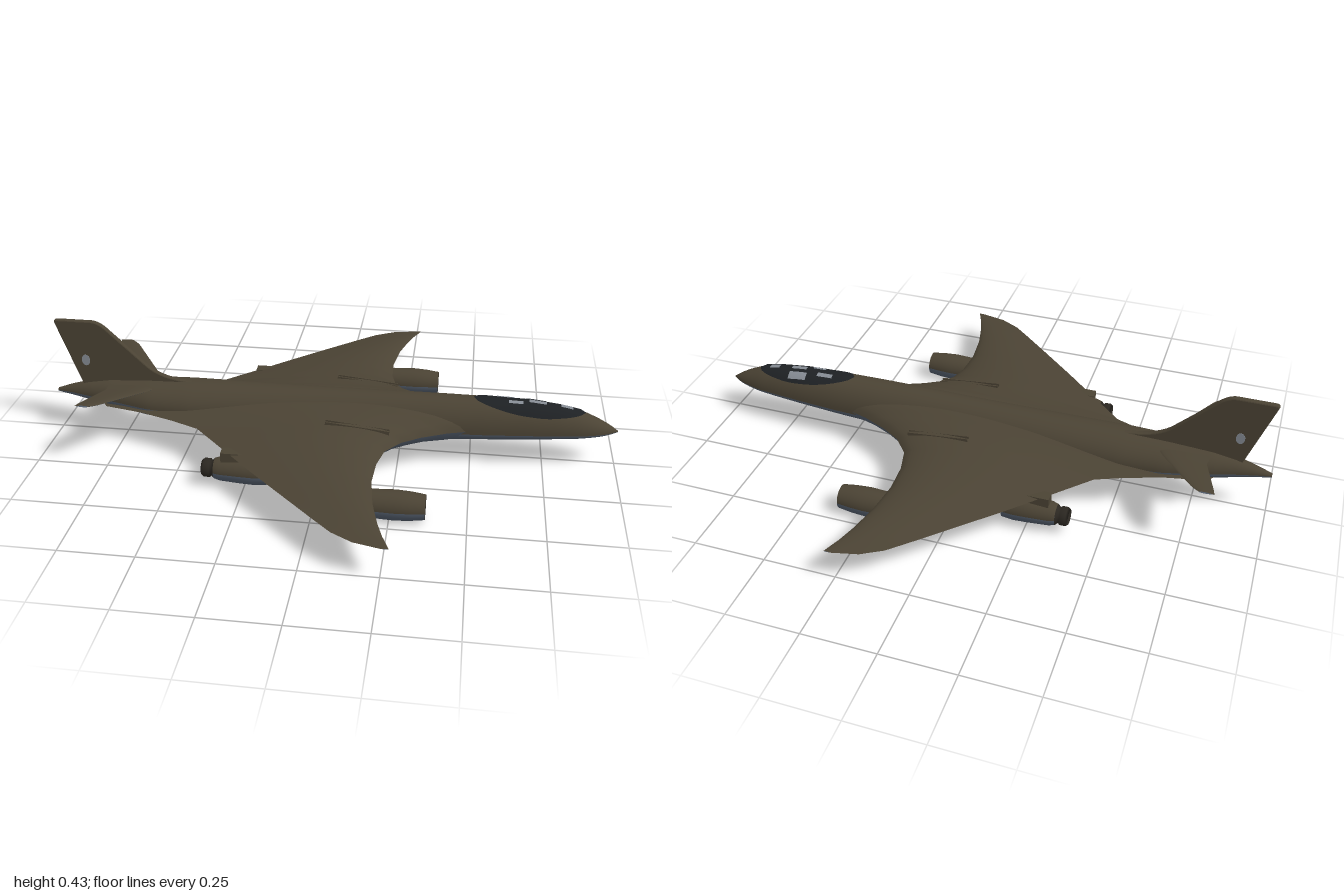
import * as THREE from 'three';

const mat = (name, color, side = THREE.DoubleSide) =>
  Object.assign(new THREE.MeshStandardMaterial({ color, side }), { name });

export function createModel() {
  const group = new THREE.Group();
  const olive = mat('olive paint', 0x4b4334);
  const slate = mat('slate underside', 0x505a68);
  const glass = mat('dark glass', 0x1e2124);
  const pale = mat('pale grey', 0x868c94);
  const metal = mat('dark metal', 0x2b2721);

  const add = (name, geometry, material, parent = group) => {
    const mesh = new THREE.Mesh(geometry, material);
    mesh.name = name;
    parent.add(mesh);
    return mesh;
  };

  // Surface from a function of u and v, both 0..1
  const sheet = (fn, nu, nv) => {
    const pos = [], idx = [];
    for (let i = 0; i <= nu; i++) for (let j = 0; j <= nv; j++) pos.push(...fn(i / nu, j / nv));
    for (let i = 0; i < nu; i++) for (let j = 0; j < nv; j++) {
      const a = i * (nv + 1) + j, b = a + nv + 1;
      idx.push(a, a + 1, b, b, a + 1, b + 1);
    }
    const g = new THREE.BufferGeometry();
    g.setAttribute('position', new THREE.Float32BufferAttribute(pos, 3));
    g.setIndex(idx);
    g.computeVertexNormals();
    return g;
  };

  // Interpolate rows of a table by their first column
  const sample = (rows, k) => {
    let i = 0;
    while (i < rows.length - 2 && k > rows[i + 1][0]) i++;
    const t = THREE.MathUtils.clamp((k - rows[i][0]) / (rows[i + 1][0] - rows[i][0]), 0, 1);
    return rows[i].map((v, c) => v + (rows[i + 1][c] - v) * t);
  };

  // Fuselage: x, top, bottom, half width, colour line
  const body = [
    [-1, 0.16, 0.148, 0.008, 0.154], [-0.95, 0.178, 0.14, 0.02, 0.156], [-0.88, 0.197, 0.128, 0.037, 0.155],
    [-0.8, 0.21, 0.115, 0.058, 0.152], [-0.65, 0.218, 0.093, 0.092, 0.146], [-0.5, 0.221, 0.075, 0.1, 0.14],
    [-0.3, 0.222, 0.061, 0.095, 0.135], [0, 0.224, 0.055, 0.088, 0.13], [0.25, 0.227, 0.065, 0.086, 0.126],
    [0.4, 0.228, 0.075, 0.085, 0.124], [0.55, 0.228, 0.085, 0.08, 0.126], [0.7, 0.224, 0.095, 0.072, 0.13],
    [0.8, 0.213, 0.102, 0.064, 0.132], [0.87, 0.199, 0.108, 0.056, 0.132], [0.93, 0.174, 0.114, 0.04, 0.132],
    [0.97, 0.153, 0.121, 0.023, 0.131], [1, 0.133, 0.129, 0.002, 0.131],
  ];
  const hull = (side) => sheet((u, v) => {
    const x = -1 + 2 * u, [, top, bottom, half, mid] = sample(body, x);
    const a = (v - 0.5) * Math.PI;
    return [x, mid + ((side > 0 ? top : bottom) - mid) * Math.cos(a), half * Math.sin(a)];
  }, 100, 24);
  add('fuselageTop', hull(1), olive);
  add('fuselageBelly', hull(-1), slate);

  // Canopy and panes: patches lying on the upper fuselage
  const patch = (x0, x1, zRange, lift) => sheet((u, v) => {
    const x = x0 + (x1 - x0) * u, [z0, z1] = zRange(u), z = z0 + (z1 - z0) * v;
    const [, top, , half, mid] = sample(body, x);
    return [x, mid + (top - mid) * Math.sqrt(Math.max(0, 1 - (z / half) ** 2)) + lift, z];
  }, 24, 12);
  add('canopy', patch(0.5, 0.885, (u) => {
    const w = 0.055 * Math.sqrt(Math.max(0, 1 - (2 * u - 1) ** 2));
    return [-w, w];
  }, 0.003), glass);
  for (const [x0, x1, z0, z1] of [
    [0.58, 0.64, -0.028, -0.012], [0.68, 0.75, -0.046, -0.022], [0.69, 0.75, -0.008, 0.01],
    [0.62, 0.67, 0.008, 0.022], [0.8, 0.84, -0.012, 0.008],
  ]) add('canopyPane', patch(x0, x1, () => [z0, z1], 0.005), pale);

  // Lifting surfaces: z, trailing x, leading x, top, bottom, edge height
  const wingRows = [
    [0, -0.85, 0.62, 0.21, 0.06, 0.135], [0.07, -0.8, 0.52, 0.203, 0.065, 0.135],
    [0.1, -0.66, 0.42, 0.195, 0.07, 0.135], [0.14, -0.54, 0.33, 0.188, 0.068, 0.134],
    [0.18, -0.44, 0.265, 0.182, 0.072, 0.132], [0.24, -0.38, 0.215, 0.174, 0.091, 0.13],
    [0.32, -0.3, 0.195, 0.164, 0.104, 0.127], [0.42, -0.2, 0.19, 0.153, 0.108, 0.124],
    [0.54, -0.075, 0.205, 0.141, 0.11, 0.121], [0.64, 0.03, 0.23, 0.13, 0.111, 0.118],
    [0.7, 0.095, 0.25, 0.122, 0.112, 0.116], [0.74, 0.165, 0.267, 0.118, 0.113, 0.115],
    [0.76, 0.25, 0.275, 0.1155, 0.1135, 0.1145],
  ];
  const tailRows = [
    [0, -0.8, -0.6, 0.204, 0.19, 0.197], [0.08, -0.79, -0.645, 0.215, 0.203, 0.209],
    [0.245, -0.835, -0.765, 0.24, 0.232, 0.236], [0.265, -0.838, -0.79, 0.242, 0.236, 0.239],
  ];
  const lift = (rows, side, n) => {
    const span = rows[rows.length - 1][0];
    return sheet((u, v) => {
      const z = span * (2 * u - 1);
      const [, back, front, top, bottom, edge] = sample(rows, Math.abs(z));
      const h = Math.sin(Math.PI * v ** 0.75);
      return [front + (back - front) * v ** 1.2, edge + ((side > 0 ? top : bottom) - edge) * h, z];
    }, n, 24);
  };
  add('wingTop', lift(wingRows, 1, 152), olive);
  add('wingUnderside', lift(wingRows, -1, 152), slate);
  add('tailplaneTop', lift(tailRows, 1, 64), olive);
  add('tailplaneUnderside', lift(tailRows, -1, 64), slate);

  // Fin with a curved root fillet
  const fin = new THREE.Shape();
  fin.moveTo(-0.895, 0.18);
  fin.lineTo(-0.982, 0.428);
  fin.quadraticCurveTo(-0.982, 0.433, -0.97, 0.433);
  fin.lineTo(-0.85, 0.433);
  fin.quadraticCurveTo(-0.82, 0.432, -0.79, 0.4);
  fin.lineTo(-0.66, 0.275);
  fin.quadraticCurveTo(-0.61, 0.226, -0.5, 0.219);
  fin.lineTo(-0.5, 0.19);
  const finGeometry = new THREE.ExtrudeGeometry(fin, {
    depth: 0.01, bevelThickness: 0.005, bevelSize: 0.004, bevelOffset: -0.002, bevelSegments: 2, curveSegments: 10,
  });
  add('fin', finGeometry.translate(0, 0, -0.005), olive);
  for (const s of [-1, 1]) {
    const mark = add('finDisc', new THREE.CylinderGeometry(0.015, 0.015, 0.002, 20), pale);
    mark.rotation.x = Math.PI / 2;
    mark.scale.z = 1.4;
    mark.position.set(-0.88, 0.285, s * 0.0105);
  }

  // Engines: a two-tone lathed shell, fan and hub at the intake
  const turned = (pts, start = 0, sweep = Math.PI * 2) => new THREE.LatheGeometry(
    pts.map(([x, r]) => new THREE.Vector2(r, x)), 24, start, sweep).rotateZ(-Math.PI / 2);
  const engine = (name, shell, nozzle, y, z) => {
    const pod = new THREE.Group();
    pod.name = name;
    pod.position.set(0, y, z);
    group.add(pod);
    const [lipX, lipR] = shell[shell.length - 1], fanX = lipX - 0.025, r = lipR - 0.006;
    add('shellTop', turned(shell, Math.PI, Math.PI), olive, pod);
    add('shellBottom', turned(shell, 0, Math.PI), slate, pod);
    add('intake', turned([[lipX, lipR], [lipX - 0.003, r], [fanX, r], [fanX, 0]]), metal, pod);
    add('hub', turned([[fanX, 0.012], [fanX + 0.008, 0.009], [fanX + 0.016, 0]]), olive, pod);
    for (let i = 0; i < 10; i++) {
      const blade = add('fanBlade', new THREE.BoxGeometry(0.003, r - 0.01, 0.006).translate(0, r / 2 + 0.004, 0), olive, pod);
      blade.position.x = fanX + 0.004;
      blade.rotation.x = i * Math.PI / 5;
    }
    add('nozzle', turned(nozzle), metal, pod);
  };
  for (const s of [-1, 1]) {
    engine('outerEngine',
      [[0.05, 0.03], [0.09, 0.039], [0.17, 0.046], [0.27, 0.05], [0.32, 0.047], [0.366, 0.041]],
      [[0.06, 0], [0.06, 0.024], [0.045, 0.024], [0.05, 0.03]], 0.052, s * 0.435);
    engine('innerEngine',
      [[-0.35, 0.035], [-0.33, 0.041], [-0.26, 0.046], [-0.21, 0.048], [-0.17, 0.044]],
      [[-0.375, 0], [-0.375, 0.022], [-0.393, 0.026], [-0.385, 0.032], [-0.365, 0.032], [-0.36, 0.026], [-0.35, 0.035]],
      0.062, s * 0.31);

    // Pylons joining engines to the wing
    add('outerPylon', new THREE.BoxGeometry(0.13, 0.045, 0.03), olive).position.set(0.115, 0.105, s * 0.435);
    add('innerPylon', new THREE.BoxGeometry(0.14, 0.045, 0.04), olive).position.set(-0.255, 0.11, s * 0.31);

    // Twin ridges on the wing root
    for (const z of [0.162, 0.177]) {
      const ridge = add('wingRidge', new THREE.BoxGeometry(0.22, 0.014, 0.005), olive);
      ridge.position.set(0.115, 0.175, s * z);
      ridge.rotation.z = -0.1;
    }
  }
  return group;
}
